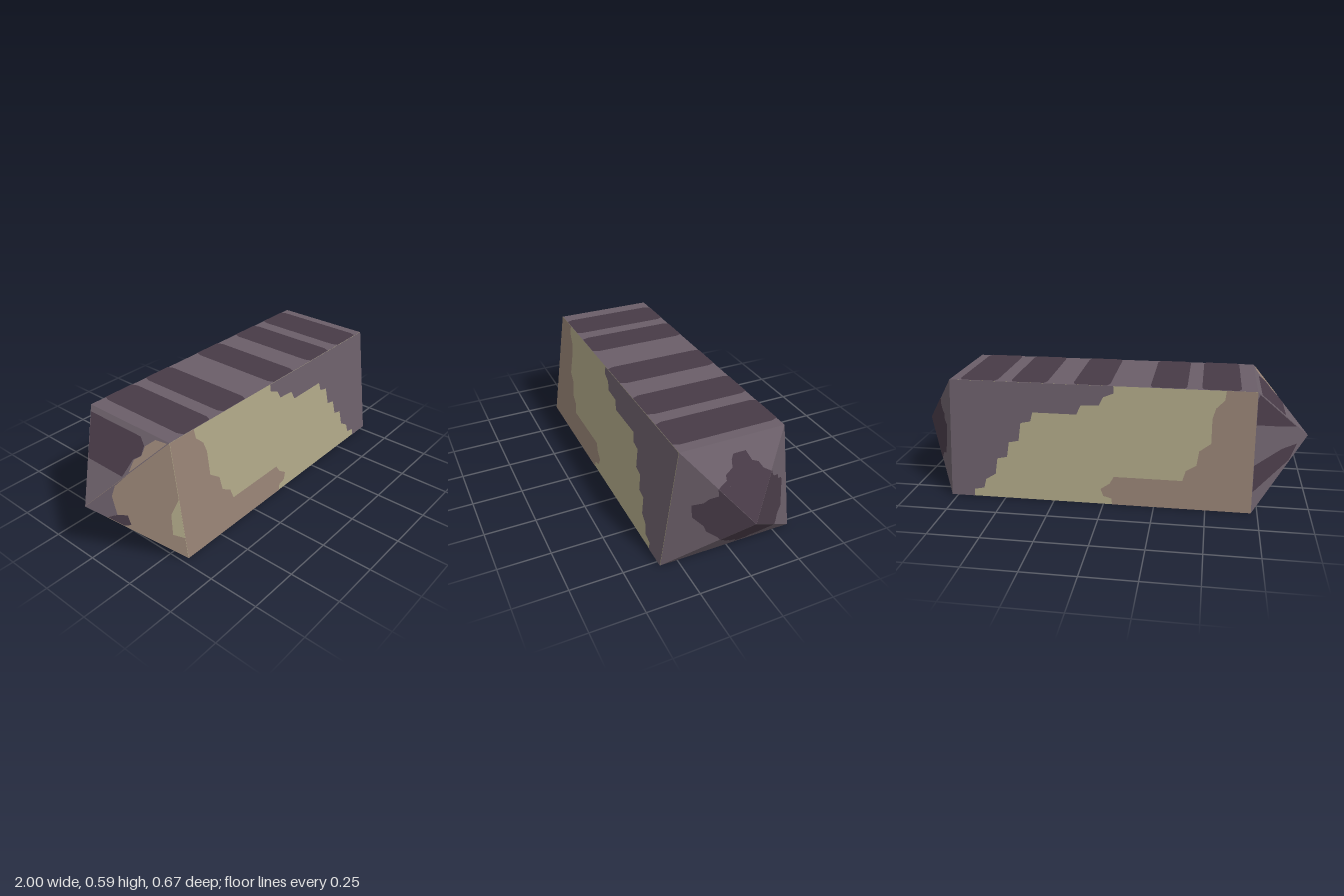
import * as THREE from 'three';

const H = 0.585, MID = 0.293, X0 = -0.72, X1 = 0.78, ZB = 0.335, ZT = 0.253;
const CENTRE = new THREE.Vector3(0, MID, 0);
const V = (x, y, z) => new THREE.Vector3(x, y, z);

function makeMaterial(name, color) {
  const m = new THREE.MeshStandardMaterial({ color });
  m.name = name;
  return m;
}

// Flat facets from a list of corner triples, each turned outward and lifted along its normal
function facets(name, corners, material, lift = 0) {
  const out = [];
  for (let i = 0; i < corners.length; i += 3) {
    let [a, b, c] = corners.slice(i, i + 3);
    const n = b.clone().sub(a).cross(c.clone().sub(a)).normalize();
    if (n.dot(a.clone().sub(CENTRE)) < 0) {
      [b, c] = [c, b];
      n.negate();
    }
    for (const p of [a, b, c]) out.push(...p.clone().addScaledVector(n, lift).toArray());
  }
  const g = new THREE.BufferGeometry();
  g.setAttribute('position', new THREE.Float32BufferAttribute(out, 3));
  g.computeVertexNormals();
  const mesh = new THREE.Mesh(g, material);
  mesh.name = name;
  return mesh;
}

// A flat outline laid on a face by a mapping from two coordinates to a point
function patch(name, outline, map, material, lift = 0.002) {
  const pts = outline.map(([a, b]) => new THREE.Vector2(a, b));
  const tris = THREE.ShapeUtils.triangulateShape(pts, []).flat();
  return facets(name, tris.map((i) => map(pts[i].x, pts[i].y)), material, lift);
}

export function createModel() {
  const group = new THREE.Group();
  const grey = makeMaterial('purple grey', 0x6a5e68);
  const dark = makeMaterial('dark purple', 0x473a46);
  const khaki = makeMaterial('khaki', 0xaba484);
  const brown = makeMaterial('brown', 0x948072);

  // Tapered body and its pointed ends
  const ring = (x) => [V(x, 0, ZB), V(x, 0, -ZB), V(x, H, -ZT), V(x, H, ZT)];
  const L = ring(X0), R = ring(X1);
  const tips = [V(-1, MID, 0), V(1, MID, 0)];
  const names = ['bottom', 'back', 'top', 'front'];
  const bodyColors = [khaki, khaki, grey, khaki];
  const leftColors = [grey, grey, grey, brown];
  for (let i = 0; i < 4; i++) {
    const j = (i + 1) % 4;
    group.add(facets(names[i] + 'Face', [L[i], L[j], R[j], L[i], R[j], R[i]], bodyColors[i]));
    group.add(facets(names[i] + 'RightPoint', [R[i], R[j], tips[1]], grey));
    group.add(facets(names[i] + 'LeftPoint', [L[i], L[j], tips[0]], leftColors[i]));
  }

  // Stepped patches on the two long sides
  const greySide = [[-0.04, H], [-0.04, 0.55], [0.01, 0.53], [0.03, 0.49], [0.12, 0.485], [0.14, 0.44],
    [0.36, 0.44], [0.37, 0.395], [0.42, 0.385], [0.43, 0.295], [0.48, 0.285], [0.49, 0.21], [0.54, 0.2],
    [0.55, 0.12], [0.6, 0.09], [0.61, 0.045], [0.66, 0.035], [0.66, 0], [X1, 0], [X1, H]];
  const brownSide = [[X0, H], [-0.575, H], [-0.57, 0.54], [-0.53, 0.5], [-0.515, 0.45], [-0.515, 0.33],
    [-0.46, 0.29], [-0.45, 0.22], [-0.4, 0.19], [-0.385, 0.14], [-0.05, 0.14], [-0.03, 0.105],
    [0.015, 0.075], [0, 0.04], [-0.04, 0.03], [-0.045, 0], [X0, 0]];
  for (const s of [1, -1]) {
    const side = (x, y) => V(x, y, s * (ZB - ((ZB - ZT) * y) / H));
    const where = s > 0 ? 'front' : 'back';
    group.add(patch(where + 'GreyPatch', greySide, side, grey));
    group.add(patch(where + 'BrownPatch', brownSide, side, brown));
  }

  // Cross stripes on the top
  const topMap = (x, z) => V(x, H, z);
  for (const [a, b] of [[-0.645, -0.46], [-0.39, -0.215], [-0.02, 0.16], [0.29, 0.47], [0.54, 0.73]]) {
    const e = 0.012;
    group.add(patch('topStripe', [[a + e, -ZT], [b - e, -ZT], [b, -ZT + 0.03], [b, ZT - 0.03],
      [b - e, ZT], [a + e, ZT], [a, ZT - 0.03], [a, -ZT + 0.03]], topMap, dark));
  }

  // Ragged spots underneath: centre x, z, half length, half width
  const blob = [[-1, 0.2], [-0.75, -0.35], [-0.4, -0.3], [-0.35, -1], [0.3, -0.9], [0.5, -0.6], [1, -0.5],
    [0.85, 0], [0.45, 0.3], [0.4, 0.75], [0, 1], [-0.35, 0.8], [-0.5, 0.45], [-0.9, 0.6]];
  for (const [cx, cz, a, b] of [[0.55, -0.15, 26, 13], [0.495, 0.08, 24, 10], [0.02, -0.085, 21, 12],
    [-0.237, 0.1, 20, 11], [-0.38, -0.174, 24, 10]]) {
    const under = (u, v) => V(cx - 0.004 * a * u - 0.0069 * b * v, 0, cz - 0.0034 * a * u + 0.0081 * b * v);
    group.add(patch('bottomSpot', blob, under, brown));
  }

  // Dark star-shaped patch around the right tip, as z and height above the tip
  const star = [[0.02, 0.537], [-0.04, 0.537], [-0.057, 0.5], [-0.085, 0.49], [-0.1, 0.465], [-0.14, 0.443],
    [-0.145, 0.42], [-0.165, 0.4], [-0.195, 0.385], [-0.205, 0.355], [-0.235, 0.34], [-0.24, 0.315],
    [-0.24, 0.188], [-0.205, 0.173], [-0.19, 0.143], [-0.147, 0.107], [-0.118, 0.08], [-0.088, 0.068],
    [-0.082, 0.05], [-0.052, 0.037], [-0.02, 0.04], [-0.01, 0.075], [0.025, 0.086], [0.04, 0.107],
    [0.07, 0.125], [0.08, 0.15], [0.11, 0.173], [0.13, 0.2], [0.168, 0.22], [0.176, 0.245], [0.216, 0.282],
    [0.216, 0.341], [0.175, 0.36], [0.155, 0.384], [0.123, 0.404], [0.125, 0.437], [0.08, 0.457],
    [0.078, 0.475], [0.04, 0.493], [0.034, 0.52]].map(([z, y]) => new THREE.Vector2(z, y - MID));
  const ridges = R.map((p) => new THREE.Vector2(p.z, p.y - MID));
  const rim = [];
  star.forEach((a, i) => {
    const b = star[(i + 1) % star.length];
    rim.push(a);
    for (const c of ridges) {
      const ca = c.cross(a), cb = c.cross(b);
      if (ca * cb < 0 && c.dot(a) > 0) rim.push(a.clone().lerp(b, ca / (ca - cb)));
    }
  });
  const slope = (ZB + ZT) / 2;
  const onPoint = (p) => {
    const t = Math.max(Math.abs(p.y) / MID, (Math.abs(p.x) + 0.14 * p.y) / slope);
    return V(1 - (1 - X1) * t, MID + p.y, p.x);
  };
  const fan = rim.flatMap((p, i) => [tips[1], onPoint(p), onPoint(rim[(i + 1) % rim.length])]);
  group.add(facets('rightPointPatch', fan, dark, 0.002));

  // Bands on the left point
  const rise = MID / (1 + X0);
  const upper = (x, z) => V(x, MID + rise * (x + 1) * 0.997, z);
  const lower = (x, z) => V(x, MID - rise * (x + 1), z);
  const front = (x, y) => V(x, y, 1.05 * (x + 1) - 0.14 * (y - MID));
  const back = (x, y) => V(x, y, -front(x, y).z);
  const band = [[-0.87, -0.113], [-0.74, -0.23], [-0.74, 0.1], [-0.76, 0.14], [-0.79, 0.15], [-0.81, 0.12], [-0.87, 0.11]];
  const edge = [[-0.85, 0.132], [-0.81, 0.125], [-0.79, 0.152], [-0.76, 0.145], [-0.73, 0.18], [-0.725, 0.245]];
  group.add(patch('leftPointTopBand', band, upper, dark));
  group.add(patch('leftPointTopEdge', edge, upper, brown));
  group.add(patch('leftPointBottomBand', band, lower, dark));
  group.add(patch('leftPointBottomEdge', edge, lower, brown));
  group.add(patch('leftPointBackUpperBand',
    [[-0.73, 0.57], [-0.93, 0.36], [-0.86, 0.38], [-0.72, 0.43], [-0.72, 0.55]], back, dark));
  group.add(patch('leftPointBackLowerBand',
    [[-0.72, 0.235], [-0.86, 0.27], [-0.94, 0.27], [-0.9, 0.2], [-0.72, 0.105]], back, dark));
  group.add(patch('leftPointFrontTip', [[-1, MID], [-0.86, 0.438], [-0.9, 0.39], [-0.915, 0.34],
    [-0.91, 0.245], [-0.943, 0.235]], front, grey));
  group.add(patch('leftPointFrontSpot', [[-0.94, 0.235], [-0.91, 0.245], [-0.88, 0.24], [-0.875, 0.19],
    [-0.895, 0.187]], front, dark));
  group.add(patch('leftPointFrontWedge', [[X0, 0.31], [-0.75, 0.235], [-0.755, 0.13], [X0, 0.11]], front, khaki));
  return group;
}
